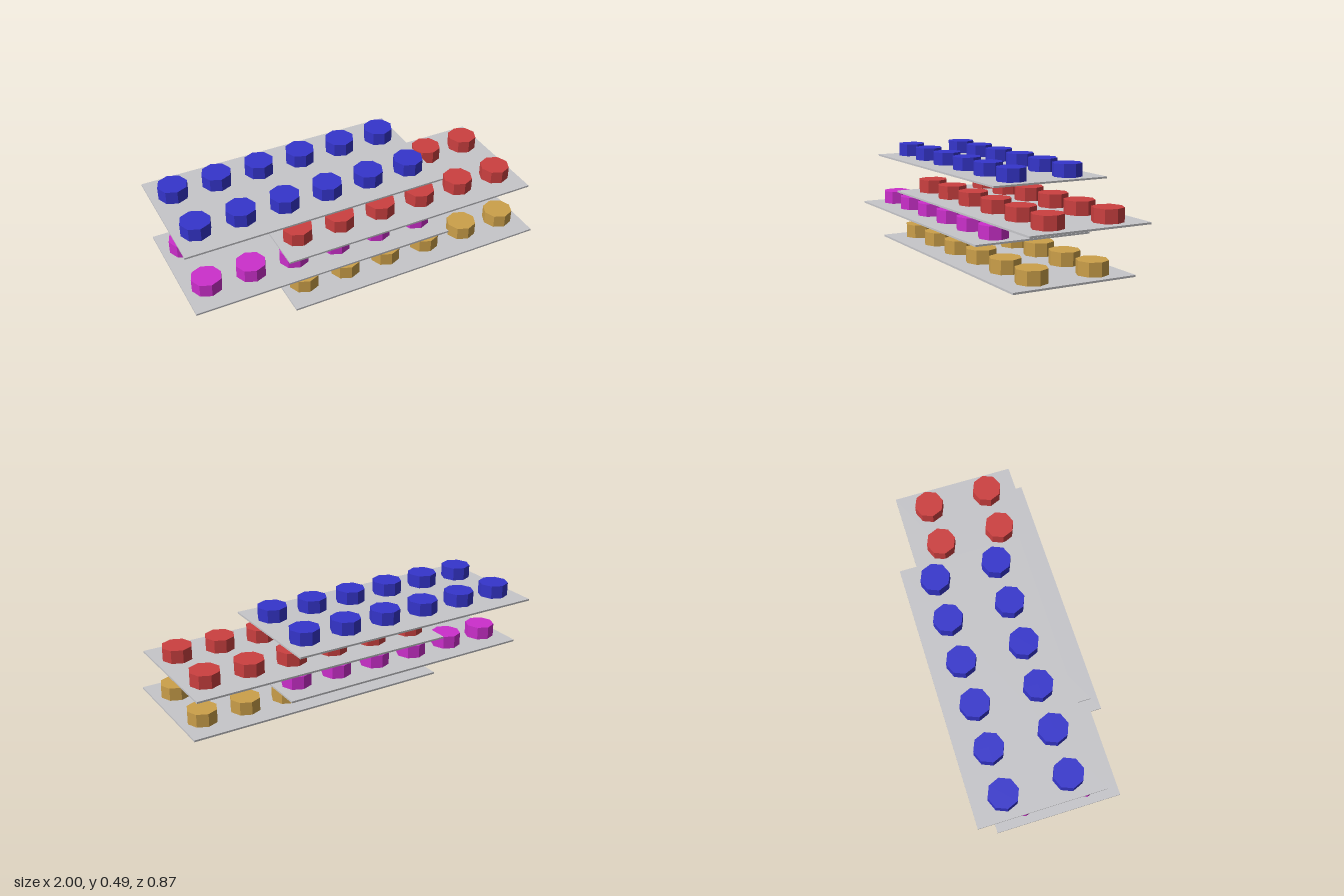
import * as THREE from 'three';

const PLATE = { w: 1.48, h: 0.01, d: 0.69 };
const PEG = { r: 0.0825, h: 0.073, dx: 0.247, dz: 0.346 };

function material(name, color) {
  const m = new THREE.MeshStandardMaterial({ color, flatShading: true });
  m.name = name;
  return m;
}

export function createModel() {
  const model = new THREE.Group();
  model.name = 'staggeredPegBoards';

  const grey = material('plate grey', 0xc6c6ca);
  const plateGeo = new THREE.BoxGeometry(PLATE.w, PLATE.h, PLATE.d);
  // Octagonal peg, corners on the x and z axes
  const pegGeo = new THREE.CylinderGeometry(PEG.r, PEG.r, PEG.h, 8);

  // One thin board with a 6 x 2 array of pegs
  function addTier(name, mat, x, y, z) {
    const tier = new THREE.Group();
    tier.name = name + 'Tier';
    tier.position.set(x, y, z);

    const plate = new THREE.Mesh(plateGeo, grey);
    plate.name = name + 'Plate';
    plate.position.y = PLATE.h / 2;
    tier.add(plate);

    for (let row = 0; row < 2; row++) {
      for (let col = 0; col < 6; col++) {
        const peg = new THREE.Mesh(pegGeo, mat);
        peg.name = `${name}Peg${row * 6 + col + 1}`;
        peg.position.set((col - 2.5) * PEG.dx, PLATE.h + PEG.h / 2, (row - 0.5) * PEG.dz);
        tier.add(peg);
      }
    }
    model.add(tier);
  }

  // Boards from bottom to top, alternately shifted sideways
  addTier('gold', material('gold', 0xcca04a), 0.252, 0, 0.092);
  addTier('magenta', material('magenta', 0xcc2fcc), -0.26, 0.114, 0.01);
  addTier('red', material('red', 0xcc4040), 0.26, 0.254, 0.01);
  addTier('blue', material('blue', 0x3535cc), -0.256, 0.404, -0.092);

  return model;
}
